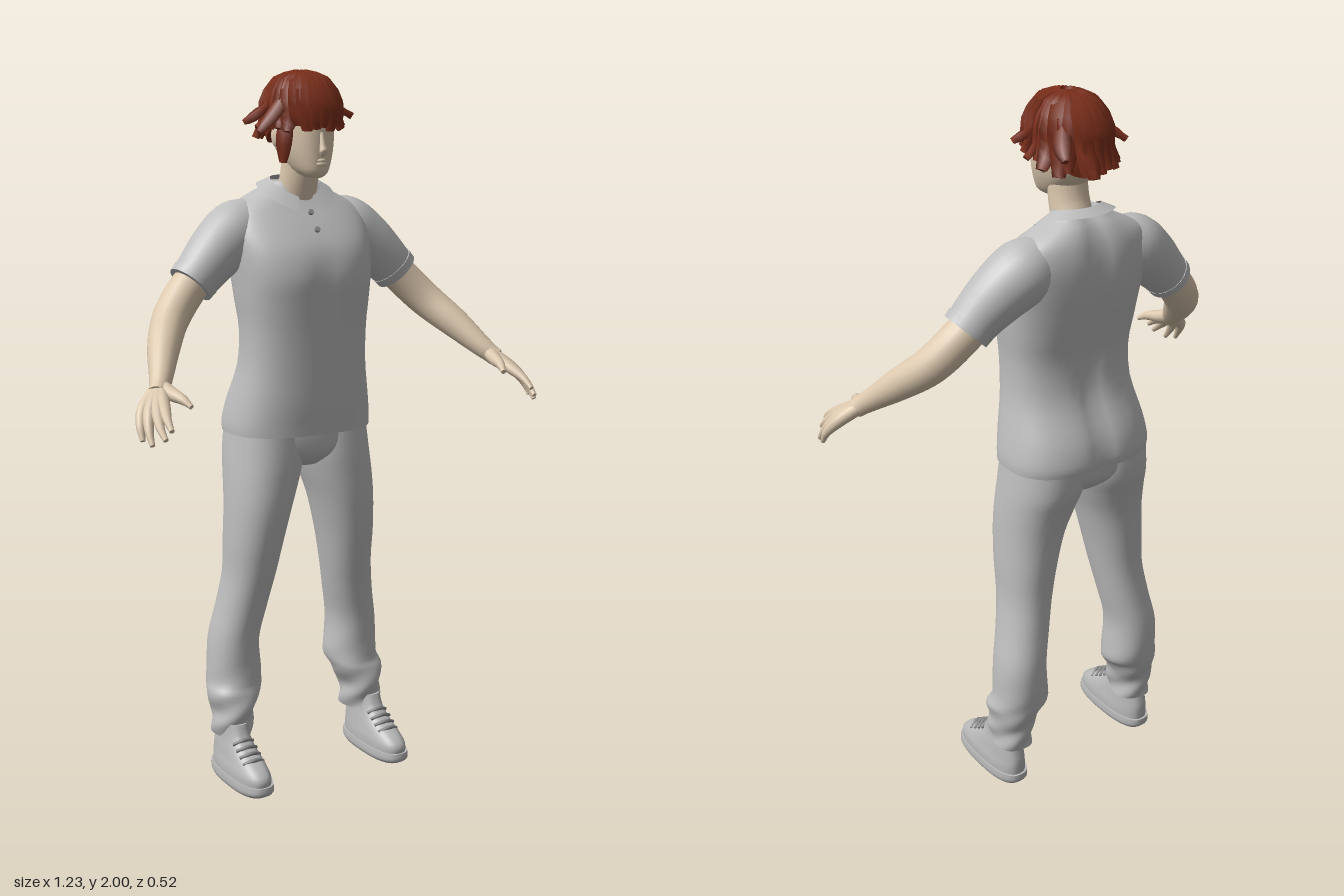
import * as THREE from 'three';
import { ParametricGeometry } from 'three/addons/geometries/ParametricGeometry.js';

const V = (x, y, z) => new THREE.Vector3(x, y, z);
const mat = (name, color) => Object.assign(new THREE.MeshStandardMaterial({ color }), { name });

// Skin through closed rings of points (listed bottom to top), capped at both ends
function skinRings(rings) {
  const n = rings[0].length, pos = [], idx = [];
  rings.forEach(r => r.forEach(p => pos.push(p.x, p.y, p.z)));
  for (let i = 0; i < rings.length - 1; i++) for (let j = 0; j < n; j++) {
    const a = i * n + j, c = i * n + (j + 1) % n;
    idx.push(a, a + n, c, c, a + n, c + n);
  }
  [rings[0], rings[rings.length - 1]].forEach((r, k) => {
    const m = r.reduce((s, p) => s.add(p), V(0, 0, 0)).divideScalar(n);
    const base = pos.length / 3;
    r.forEach(p => pos.push(p.x, p.y, p.z));
    pos.push(m.x, m.y, m.z);
    for (let j = 0; j < n; j++) {
      const a = base + j, b = base + (j + 1) % n;
      k ? idx.push(a, base + n, b) : idx.push(a, b, base + n);
    }
  });
  const g = new THREE.BufferGeometry();
  g.setAttribute('position', new THREE.Float32BufferAttribute(pos, 3));
  g.setIndex(idx);
  g.computeVertexNormals();
  return g;
}

// Smoothly interpolate rows of numbers
function refine(rows, steps) {
  const out = [];
  for (let i = 0; i < rows.length - 1; i++) for (let s = 0; s < steps; s++) {
    const at = k => rows[Math.min(rows.length - 1, Math.max(0, k))], t = s / steps;
    out.push(rows[i].map((_, c) => {
      const [p, a, b, q] = [at(i - 1)[c], at(i)[c], at(i + 1)[c], at(i + 2)[c]];
      return a + 0.5 * t * (b - p + t * (2 * p - 5 * a + 4 * b - q + t * (3 * (a - b) + q - p)));
    }));
  }
  out.push(rows[rows.length - 1]);
  return out;
}

// Horizontal sections [y, xMin, xMax, zFront, zBack]; warp may move each point
function stack(rows, power = 2.3, warp = null, seg = 40, steps = 3) {
  const e = 2 / power, sp = v => Math.sign(v) * Math.abs(v) ** e;
  return skinRings(refine(rows, steps).map(([y, x0, x1, zf, zb]) =>
    Array.from({ length: seg }, (_, j) => {
      const a = j / seg * Math.PI * 2;
      const p = V((x0 + x1) / 2 + sp(Math.cos(a)) * (x1 - x0) / 2, y, (zf + zb) / 2 + sp(Math.sin(a)) * (zf - zb) / 2);
      if (warp) warp(p, a);
      return p;
    })));
}
const symmetric = rows => rows.map(([y, w, f, b]) => [y, -w, w, f, b]);

// Round limb along points with a radius at each
function limb(points, radii, seg = 14) {
  const curve = new THREE.CatmullRomCurve3(points);
  const n = (points.length - 1) * 5, { normals, binormals } = curve.computeFrenetFrames(n);
  const rs = refine(radii.map(r => [r]), 5);
  return skinRings(rs.map(([r], i) => {
    const c = curve.getPoint(i / n);
    return Array.from({ length: seg }, (_, j) => {
      const a = j / seg * Math.PI * 2;
      return c.clone().addScaledVector(normals[i], Math.cos(a) * r).addScaledVector(binormals[i], -Math.sin(a) * r);
    });
  }));
}

// Flat tapering lock of hair lying on the head
function lock(points, width) {
  const curve = new THREE.CatmullRomCurve3(points), centre = V(0, 1.87, -0.08), rings = [];
  for (let i = 0; i <= 8; i++) {
    const t = i / 8, c = curve.getPoint(t), tan = curve.getTangent(t);
    const side = tan.clone().cross(c.clone().sub(centre)).normalize();
    const out = side.clone().cross(tan).normalize();
    const w = width * (0.45 + 0.9 * Math.sin(Math.PI * Math.min(1, t * 0.85 + 0.1)));
    rings.push([[w, 0], [0, -0.01], [-w, 0], [0, 0.01]].map(([s, o]) =>
      c.clone().addScaledVector(side, s).addScaledVector(out, o)));
  }
  return skinRings(rings);
}

export function createModel() {
  const cloth = mat('grey cloth', 0xbebebe), skin = mat('skin', 0xdcc8ae), hair = mat('red hair', 0x7c2f1b);
  const shoe = mat('grey shoe', 0xb8b8b8), trim = mat('dark trim', 0x8a8a8a);
  cloth.side = hair.side = THREE.DoubleSide;
  const model = new THREE.Group();
  const add = (name, geo, material, parent = model) => {
    const m = new THREE.Mesh(geo, material);
    m.name = name;
    parent.add(m);
    return m;
  };

  // Shirt body with a shallow spine groove
  add('shirtBody', stack(symmetric([
    [1.01, .215, .04, -.258], [1.04, .215, .042, -.26], [1.1, .205, .047, -.245], [1.2, .186, .05, -.2],
    [1.3, .184, .054, -.19], [1.38, .193, .06, -.205], [1.45, .2, .064, -.22], [1.52, .208, .045, -.23],
    [1.58, .212, .005, -.23], [1.63, .19, -.035, -.22], [1.665, .13, -.06, -.205],
    [1.685, .09, -.07, -.19], [1.7, .07, -.08, -.175]]), 2.5, p => {
    if (p.z < -.12) p.z += .014 * Math.exp(-((p.x / .03) ** 2));
    if (p.z > 0) p.z -= .008 * Math.exp(-((p.x / .04) ** 2)) * Math.exp(-(((p.y - 1.44) / .08) ** 2));
  }, 56), cloth);
  // Folded collar, open at the front
  add('collar', new ParametricGeometry((u, v, t) => {
    const a = .3 + u * (Math.PI * 2 - .6), f = ((1 + Math.cos(a)) / 2) ** 2;
    t.set(Math.sin(a) * (.072 + .04 * v), 1.715 - .055 * f - v * (.015 + .025 * f), -.11 + Math.cos(a) * (.06 + .032 * v));
  }, 40, 4), cloth);
  for (const [y, z] of [[1.62, -.022], [1.575, .012]]) {
    const b = add('button', new THREE.CylinderGeometry(.008, .008, .008, 12), trim);
    b.position.set(0, y, z);
    b.rotation.x = Math.PI / 2 - .6;
  }

  // Trouser seat joining both legs
  add('trouserSeat', stack(symmetric([[.91, .05, -.03, -.17], [.94, .12, .005, -.215],
    [.98, .19, .015, -.235], [1.05, .205, .01, -.235]]), 2.3), cloth);

  for (const s of [1, -1]) {
    const side = new THREE.Group();
    side.name = s > 0 ? 'leftLimbs' : 'rightLimbs';
    model.add(side);
    const P = (x, y, z) => V(s * x, y, z);
    const span = rows => rows.map(([y, i, o, f, b]) => s > 0 ? [y, i, o, f, b] : [y, -o, -i, f, b]);

    // Trouser leg, wrinkled towards the hem
    add('trouserLeg', stack(span([
      [.12, .168, .268, -.04, -.178], [.16, .165, .272, -.035, -.18], [.2, .16, .272, -.03, -.19],
      [.25, .135, .283, -.035, -.2], [.29, .12, .275, -.05, -.21], [.4, .128, .268, -.05, -.213],
      [.5, .11, .248, -.036, -.2], [.6, .09, .232, -.015, -.19], [.7, .07, .23, .005, -.193],
      [.8, .045, .226, .018, -.2], [.88, .018, .222, .02, -.218], [.95, 0, .216, .018, -.238],
      [1.05, .0, .205, .01, -.238]]), 2.2, (p, a) => {
      const k = .007 * Math.max(0, 1 - p.y / .36) * Math.sin(a * 3 + p.y * 75);
      p.x += Math.cos(a) * k;
      p.z += Math.sin(a) * k;
    }, 36, 4), cloth, side);

    // Shoe with sole and laces
    add('shoeUpper', stack(span([[.02, .178, .277, .105, -.168], [.05, .178, .277, .108, -.17],
      [.075, .182, .272, .08, -.17], [.1, .186, .268, .03, -.165], [.13, .19, .263, -.01, -.16],
      [.17, .19, .262, -.03, -.16]]), 2.5), shoe, side);
    add('shoeSole', stack(span([[0, .178, .278, .1, -.165], [.012, .172, .283, .115, -.175],
      [.032, .173, .282, .113, -.175]]), 2.6), shoe, side);
    for (let i = 0; i < 4; i++) {
      const y = .093 + i * .013, z = .05 - i * .02;
      add('lace', limb([P(.195, y - .012, z - .012), P(.227, y, z), P(.26, y - .012, z - .012)], [.005, .006, .005], 8), trim, side);
    }

    // Sleeve with cuff
    add('sleeve', limb([P(.09, 1.6, -.135), P(.17, 1.57, -.13), P(.235, 1.525, -.117), P(.29, 1.475, -.105), P(.328, 1.437, -.1)],
      [.06, .085, .08, .07, .064], 24), cloth, side);
    add('sleeveCuff', limb([P(.314, 1.452, -.101), P(.331, 1.434, -.099)], [.068, .066], 24), cloth, side);

    // Arm and hand
    add('arm', limb([P(.27, 1.49, -.108), P(.34, 1.425, -.098), P(.41, 1.35, -.062), P(.465, 1.285, .01), P(.515, 1.215, .095), P(.535, 1.193, .12)],
      [.05, .052, .05, .043, .029, .026], 18), skin, side);
    const wrist = P(.52, 1.21, .1);
    const fingers = [
      ['indexFinger', [.545, 1.168, .18], [.557, 1.145, .222], [.56, 1.122, .254]],
      ['middleFinger', [.562, 1.16, .175], [.575, 1.127, .218], [.575, 1.1, .25]],
      ['ringFinger', [.578, 1.155, .16], [.595, 1.115, .195], [.598, 1.083, .22]],
      ['littleFinger', [.588, 1.155, .14], [.605, 1.12, .167], [.608, 1.09, .185]]];
    for (const [name, ...pts] of fingers)
      add(name, limb([wrist, ...pts.map(p => P(...p))], [.02, .0165, .0115, .007], 10), skin, side);
    add('thumb', limb([wrist, P(.51, 1.195, .145), P(.498, 1.185, .19), P(.488, 1.17, .218)], [.02, .019, .013, .007], 10), skin, side);

    // Ear
    const ear = add('ear', new THREE.SphereGeometry(1, 14, 10), skin, side);
    ear.scale.set(.01, .03, .018);
    ear.position.set(s * .077, 1.825, -.08);
  }

  // Neck, head and face
  add('neck', limb([V(0, 1.6, -.125), V(0, 1.66, -.105), V(0, 1.72, -.085), V(0, 1.8, -.075)], [.062, .056, .053, .052], 24), skin);
  add('head', stack(symmetric([[1.714, .018, .018, -.03], [1.728, .038, .032, -.07], [1.76, .056, .036, -.125],
    [1.8, .069, .037, -.165], [1.85, .075, .036, -.185], [1.9, .075, .03, -.185], [1.95, .058, -.005, -.15], [1.97, .03, -.04, -.12]])), skin);
  add('nose', limb([V(0, 1.835, .034), V(0, 1.8, .041), V(0, 1.783, .044), V(0, 1.775, .034)], [.006, .009, .011, .006], 10), skin);
  for (const y of [1.751, 1.76])
    add('lip', limb([V(-.021, y, .027), V(0, y, .036), V(.021, y, .027)], [.002, .006, .002], 8), skin);

  // Hair cap, lower at the nape
  const hairGroup = new THREE.Group();
  hairGroup.name = 'hair';
  model.add(hairGroup);
  add('hairCap', stack(symmetric([[1.852, .081, .044, -.195], [1.88, .088, .047, -.203], [1.92, .087, .036, -.198],
    [1.96, .07, .005, -.17], [1.985, .042, -.035, -.13], [1.992, .015, -.065, -.1]]), 2.2, p => {
    const back = Math.min(1, Math.max(0, (-.08 - p.z) / .1));
    p.y -= .05 * back * Math.max(0, 1 - (p.y - 1.852) / .1);
  }), hair, hairGroup);
  // Overlapping locks fanned around the crown, flicked out at the tips
  let seed = 7;
  const rnd = () => (seed = (seed * 16807) % 2147483647) / 2147483647;
  for (let i = 0; i < 26; i++) {
    const a = i / 26 * Math.PI * 2 + rnd() * .15, c = Math.cos(a), d = Math.sin(a);
    const front = Math.max(0, d), reach = (1 - front) * (.008 + .03 * rnd());
    const at = (r, y, e = 0) => V(c * (.092 * r + e), y, -.078 + d * (.124 * r + e));
    add('hairLock', lock([at(.15, 1.989), at(.68, 1.972), at(1, 1.915), at(1.03, 1.87),
      at(1.0, 1.835 - (d < -.3 ? .03 : 0) + rnd() * .02, reach)], .02 + rnd() * .008), hair, hairGroup);
  }
  // Longer loose locks
  const loose = [
    [[-.06, 1.95, -.03], [-.105, 1.89, -.03], [-.15, 1.835, -.04]],
    [[-.07, 1.93, -.08], [-.11, 1.89, -.1], [-.14, 1.86, -.14]],
    [[.06, 1.95, -.04], [.1, 1.9, -.05], [.135, 1.875, -.03]],
    [[.06, 1.94, -.14], [.09, 1.89, -.18], [.105, 1.86, -.215]],
    [[-.075, 1.88, -.02], [-.087, 1.82, -.015], [-.088, 1.755, -.02]]];
  for (const pts of loose) add('looseLock', lock(pts.map(p => V(...p)), .018), hair, hairGroup);
  return model;
}
